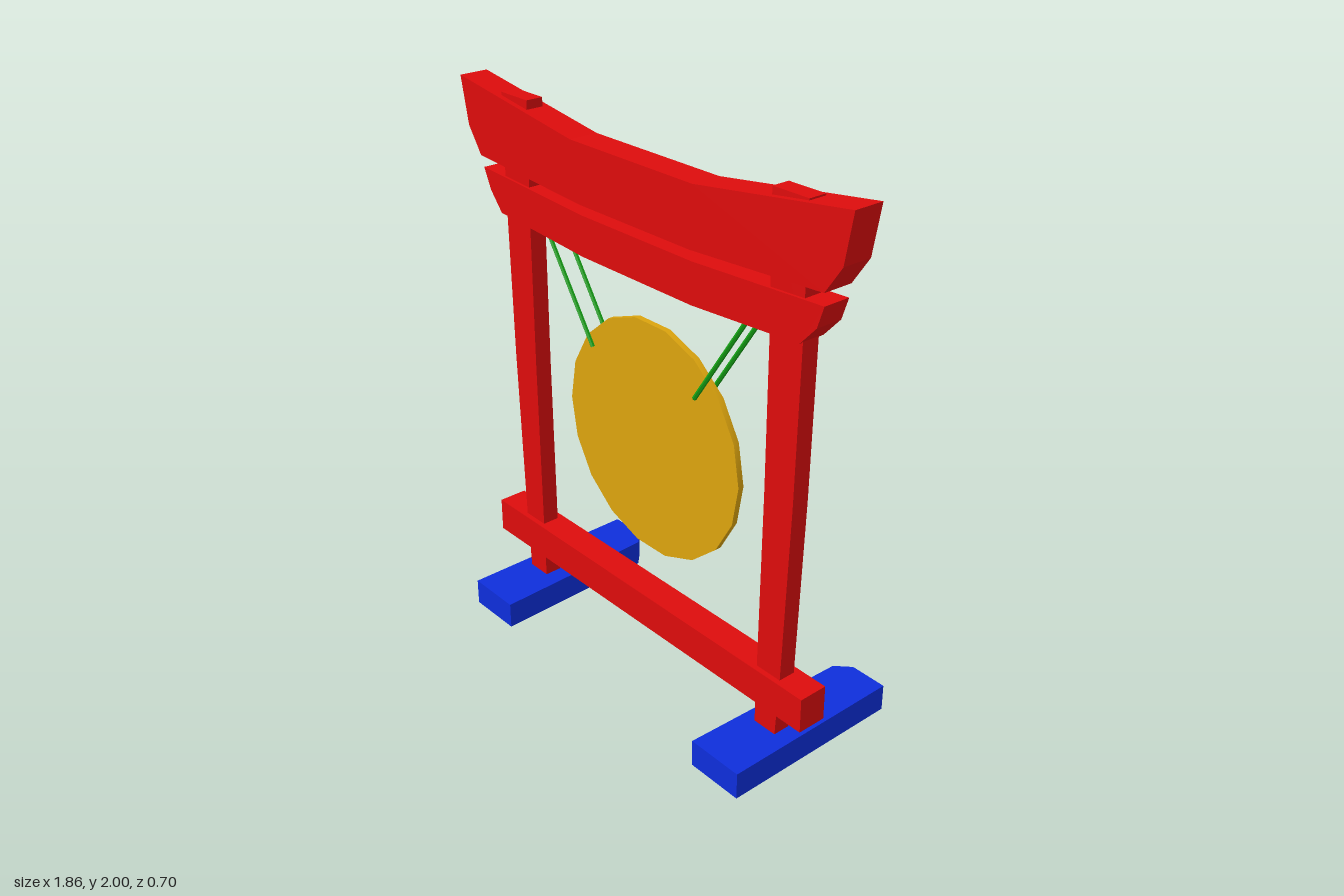
import * as THREE from 'three';
import { toCreasedNormals } from 'three/addons/utils/BufferGeometryUtils.js';

const paint = (color) => new THREE.MeshStandardMaterial({ color, flatShading: true });

export function createModel() {
  const group = new THREE.Group();
  const red = paint(0xdd0c0c);
  const blue = paint(0x0e2edb);
  const green = paint(0x14a014);
  const gold = new THREE.MeshStandardMaterial({ color: 0xdca40e });

  const add = (name, geometry, material) => {
    const mesh = new THREE.Mesh(geometry, material);
    mesh.name = name;
    group.add(mesh);
    return mesh;
  };
  // Outline in x and y, extruded from z0 to z1
  const slab = (points, z0, z1) => {
    const shape = new THREE.Shape(points.map(([x, y]) => new THREE.Vector2(x, y)));
    return new THREE.ExtrudeGeometry(shape, { depth: z1 - z0, bevelEnabled: false }).translate(0, 0, z0);
  };

  // Curved top beams with swept-up, tapered ends
  add('topBeam', slab([
    [-0.93, 2], [-0.895, 1.83], [-0.83, 1.735], [-0.27, 1.7], [0.27, 1.7],
    [0.83, 1.735], [0.895, 1.83], [0.925, 2], [0.28, 1.91], [-0.31, 1.91],
  ], 0.03, 0.14), red);
  add('secondBeam', slab([
    [-0.83, 1.69], [-0.795, 1.615], [-0.735, 1.545], [-0.27, 1.515], [0.27, 1.515],
    [0.735, 1.545], [0.8, 1.615], [0.825, 1.69], [0.27, 1.66], [-0.27, 1.66],
  ], 0.03, 0.13), red);

  // Straight lower beam
  add('lowerBeam', slab([[-0.83, 0.2], [0.825, 0.2], [0.825, 0.33], [-0.83, 0.33]], 0.03, 0.14), red);

  for (const side of [-1, 1]) {
    const label = side > 0 ? 'left' : 'right';
    // The two halves mirror about x = 0.025 up to the top beams
    const mx = (x) => 0.025 * (side > 0 ? 1 : 0) + side * x;

    // Post, widening slightly upwards
    const post = [[0.573, 0.09], [0.668, 0.09], [0.682, 0.33], [0.705, 1.0], [0.715, 1.55],
      [0.715, 1.98], [0.57, 1.98], [0.58, 1.5], [0.581, 1.0], [0.575, 0.33]];
    add(label + 'Post', slab(post.map(([x, y]) => [mx(x), y]), 0.055, 0.12), red);

    // Foot with a chamfered inner back corner, drawn from above
    const foot = [[0.712, -0.35], [0.495, -0.35], [0.518, 0.3], [0.57, 0.35], [0.712, 0.35]];
    const footX = (x) => (side > 0 ? 0.045 : 0) + side * x;
    add(label + 'Foot', slab(foot.map(([x, y]) => [footX(x), y]), 0, 0.1).rotateX(-Math.PI / 2), blue);

    // Pair of cords, one in front of the gong and one behind
    for (const [place, z] of [['Front', 0.115], ['Back', 0.042]]) {
      const top = new THREE.Vector3(mx(0.478), 1.535, z);
      const bottom = new THREE.Vector3(mx(0.248), 1.19, z);
      const path = new THREE.LineCurve3(top, bottom);
      add(label + place + 'Cord', new THREE.TubeGeometry(path, 1, 0.008, 6), green);
    }
  }

  // Gong: flat front, shallow domed back with a raised boss
  const profile = [[0, -0.09], [0.435, -0.09], [0.435, -0.068], [0.37, -0.053],
    [0.145, -0.041], [0.11, -0.02], [0, -0.02]].map(([r, y]) => new THREE.Vector2(r, y));
  const gong = new THREE.LatheGeometry(profile, 18, Math.PI / 2).rotateX(-Math.PI / 2);
  add('gong', toCreasedNormals(gong, 0.45), gold).position.set(0.025, 0.93, 0);

  return group;
}
